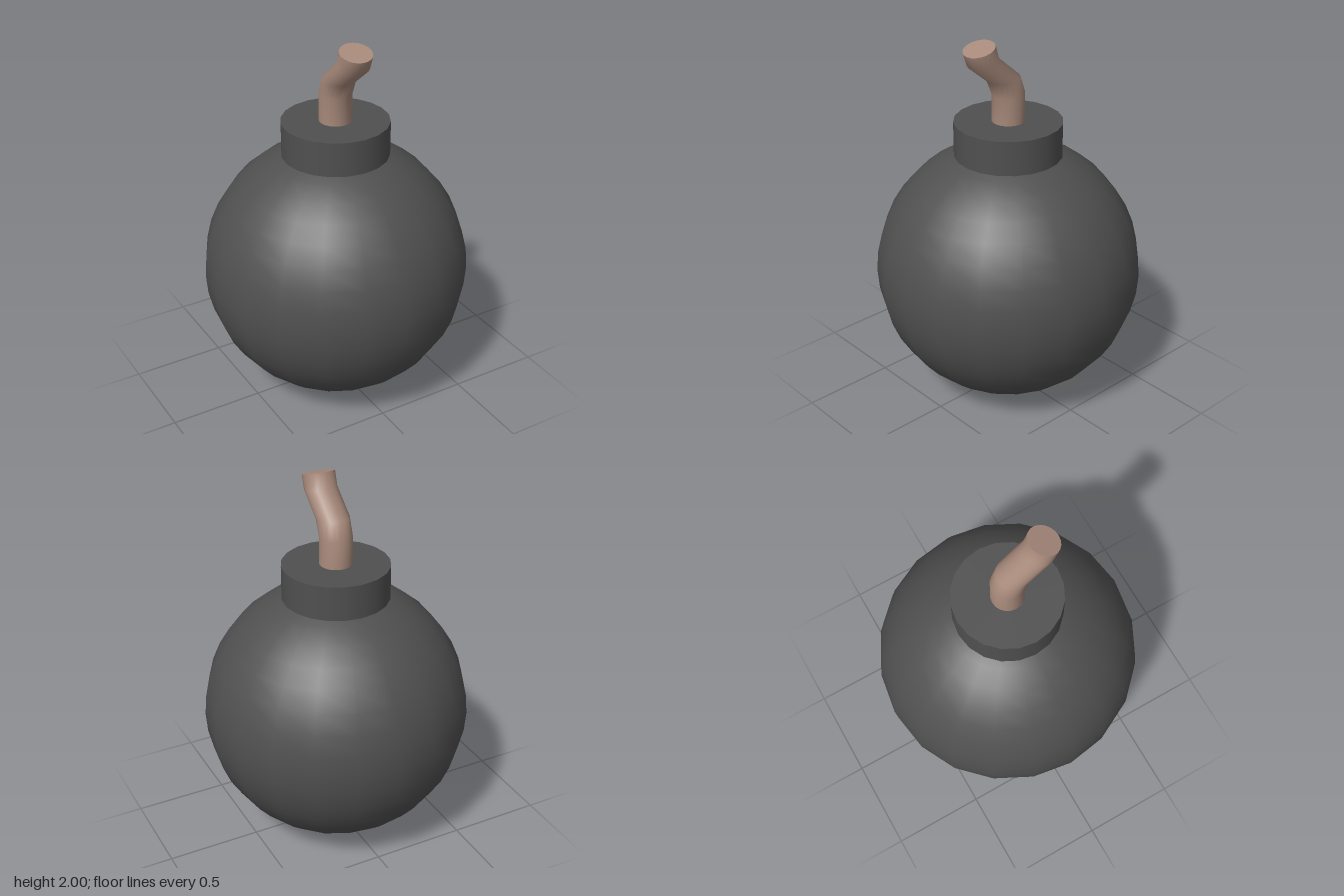
import * as THREE from 'three';
import { toCreasedNormals } from 'three/addons/utils/BufferGeometryUtils.js';

const SIDES = 20;

// Tilted fuse rings, bottom to top: centre y, centre z, then the half-width vector (z, y) in the bend plane
const FUSE_RINGS = [
  [1.52, 0, 0.086, 0],
  [1.698, 0, 0.086, -0.002],
  [1.788, 0.034, 0.087, -0.008],
  [1.9, 0.167, 0.077, -0.019],
  [1.977, 0.193, 0.078, -0.024],
];

// Bends a unit cylinder by moving each ring of vertices onto its place along the fuse
function fuseGeometry(radius) {
  const last = FUSE_RINGS.length - 1;
  const geometry = new THREE.CylinderGeometry(1, 1, 1, SIDES, last);
  const pos = geometry.attributes.position;
  for (let i = 0; i < pos.count; i++) {
    const [cy, cz, dz, dy] = FUSE_RINGS[Math.round((pos.getY(i) + 0.5) * last)];
    const across = pos.getZ(i);
    pos.setXYZ(i, pos.getX(i) * radius, cy + across * dy, cz + across * dz);
  }
  return toCreasedNormals(geometry, Math.PI / 3);
}

export function createModel() {
  const group = new THREE.Group();
  group.name = 'bomb';
  const iron = new THREE.MeshStandardMaterial({ color: 0x505050 });
  const cord = new THREE.MeshStandardMaterial({ color: 0xa88a7b });

  const add = (name, geometry, material, y = 0) => {
    const mesh = new THREE.Mesh(geometry, material);
    mesh.name = name;
    mesh.position.y = y;
    group.add(mesh);
  };

  // Round body
  add('body', new THREE.SphereGeometry(0.708, SIDES, SIDES), iron, 0.712);
  // Collar on top of the body
  add('collar', new THREE.CylinderGeometry(0.283, 0.283, 0.185, SIDES), iron, 1.458);
  // Crooked fuse leaning to the front
  add('fuse', fuseGeometry(0.086), cord);

  return group;
}
